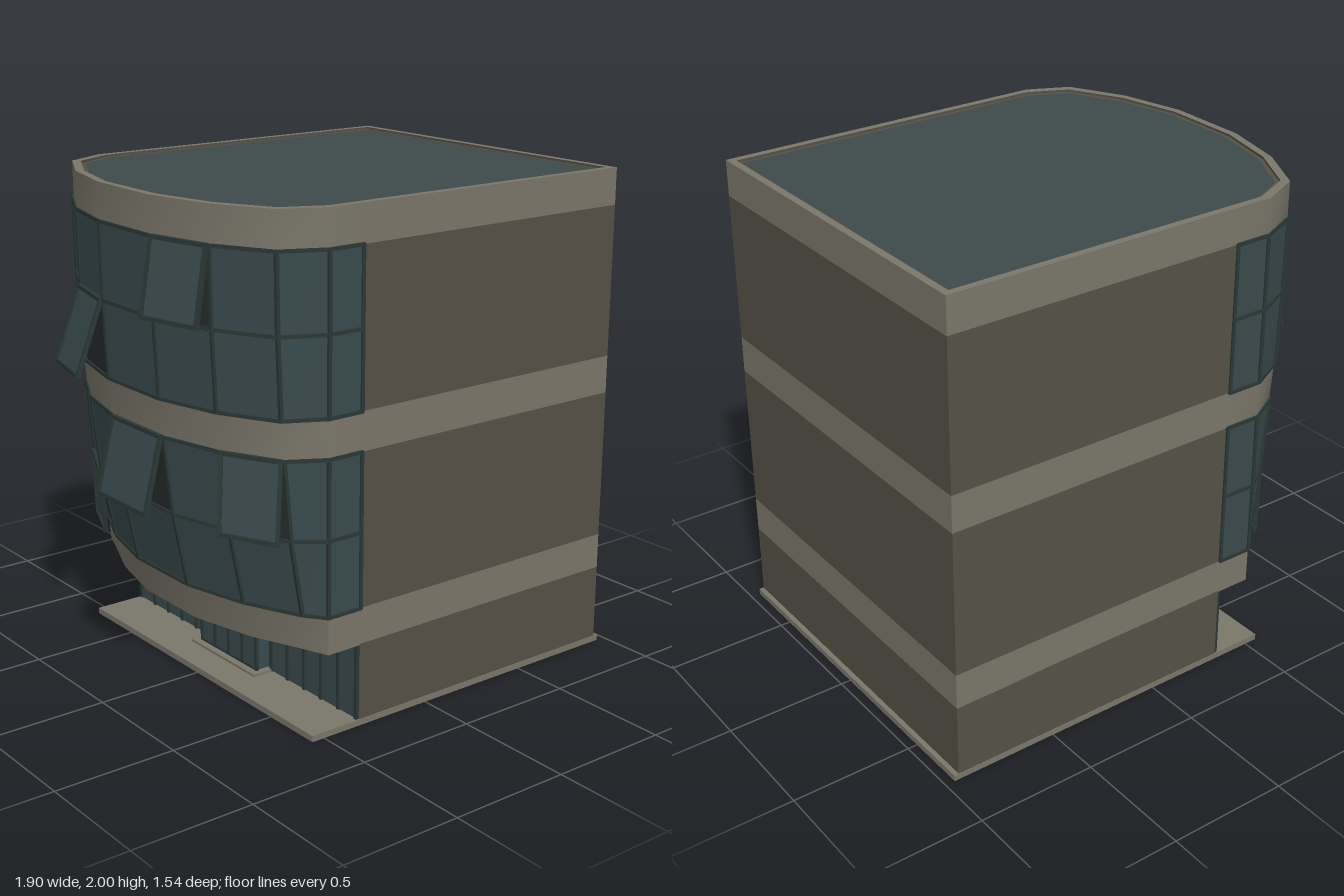
import * as THREE from 'three';
import { toCreasedNormals } from 'three/addons/utils/BufferGeometryUtils.js';

const mat = (name, color, side = THREE.FrontSide) => new THREE.MeshStandardMaterial({ name, color, side });

// Half of the bowed plan (x, z, how far it follows the lean), then mirrored
const half = [[-0.33, 0.76, 0], [-0.48, 0.76, 0], [-0.65, 0.68, 0.85], [-0.77, 0.45, 1], [-0.835, 0.175, 1]];
const bow = [...half, ...half.map(([x, z, k]) => [x, -z, k]).reverse()];
const plan = [...bow, [0.94, -0.76, 0], [0.94, 0.76, 0]];

// Inward lean of the bow at each height
const lean = [[0.33, 0.165], [0.48, 0.13], [0.78, 0.07], [1.09, 0.035], [1.245, 0.02], [1.55, 0.005], [1.85, 0], [2, 0]];
function shift(y) {
  for (let i = 1; i < lean.length; i++) {
    const [y0, s0] = lean[i - 1], [y1, s1] = lean[i];
    if (y <= y1) return s0 + (s1 - s0) * (y - y0) / (y1 - y0);
  }
  return 0;
}
const at = ([x, z, k], y) => new THREE.Vector3(x + k * shift(y), y, z);

// Wall strip following a list of plan points between two heights
function strip(points, y0, y1, closed) {
  const pos = [], idx = [], n = points.length;
  points.forEach((p) => pos.push(...at(p, y0), ...at(p, y1)));
  for (let i = 0; i < (closed ? n : n - 1); i++) {
    const a = i * 2, b = ((i + 1) % n) * 2;
    idx.push(b, a, a + 1, b, a + 1, b + 1);
  }
  const g = new THREE.BufferGeometry();
  g.setAttribute('position', new THREE.Float32BufferAttribute(pos, 3));
  g.setIndex(idx);
  return toCreasedNormals(g, 0.8);
}

// Flat pane from corners: lower a, lower b, upper b, upper a
function pane(a0, b0, b1, a1) {
  const g = new THREE.BufferGeometry();
  g.setAttribute('position', new THREE.Float32BufferAttribute([b0, a0, a1, b0, a1, b1].flatMap((v) => [...v]), 3));
  g.computeVertexNormals();
  return g;
}

// Roof plan pulled inwards by d
const inset = (d) => plan.map(([x, z]) => [0.0525 + (x - 0.0525) * (1 - d / 0.8875), z * (1 - d / 0.76), 0]);

function cap(outer, inner, y) {
  const pts = (list) => list.map(([x, z]) => new THREE.Vector2(x, -z));
  const shape = new THREE.Shape(pts(outer));
  if (inner) shape.holes.push(new THREE.Path(pts(inner)));
  return new THREE.ShapeGeometry(shape).rotateX(-Math.PI / 2).translate(0, y, 0);
}

export function createModel() {
  const model = new THREE.Group();
  model.name = 'building';
  const stone = mat('paleStone', 0x7a766a, THREE.DoubleSide);
  const wall = mat('darkStone', 0x555147, THREE.DoubleSide);
  const glass = mat('glass', 0x394a4d, THREE.DoubleSide);
  const deck = mat('roofDeck', 0x3e4b4a);
  const frame = mat('frame', 0x2b3836);
  const dark = mat('interior', 0x262d2c, THREE.DoubleSide);

  const add = (name, geometry, material, parent = model) => {
    const m = new THREE.Mesh(geometry, material);
    m.name = name;
    parent.add(m);
    return m;
  };
  const box = (name, x0, x1, y0, y1, z0, z1, material) =>
    add(name, new THREE.BoxGeometry(x1 - x0, y1 - y0, z1 - z0), material)
      .position.set((x0 + x1) / 2, (y0 + y1) / 2, (z0 + z1) / 2);
  const bar = (name, a, b, w, parent) => {
    const m = add(name, new THREE.BoxGeometry(w, w, a.distanceTo(b) + w * 0.5), frame, parent);
    m.position.copy(a).lerp(b, 0.5);
    m.lookAt(b);
  };

  // Plinth and ground-floor block
  box('plinth', -0.555, 0.96, 0, 0.025, -0.762, 0.762, stone);
  box('groundWall', -0.33, 0.94, 0.025, 0.335, -0.76, 0.76, wall);

  // Pale bands running all the way round
  for (const [y0, y1] of [[0.33, 0.48], [1.09, 1.243], [1.853, 2]]) add('band', strip(plan, y0, y1, true), stone);
  const soffitPlan = bow.map((p) => { const v = at(p, 0.33); return [v.x, v.z]; });
  add('soffit', cap(soffitPlan, null, 0.331), stone);

  // Dark walls on three sides of the upper floors
  const sides = [bow[bow.length - 1], plan[bow.length], plan[bow.length + 1], bow[0]];
  for (const [y0, y1] of [[0.48, 1.09], [1.243, 1.853]]) add('upperWall', strip(sides, y0, y1, false), wall);

  // Roof: parapet top, inner rim and deck
  add('parapetTop', cap(plan, inset(0.03), 2), stone);
  add('parapetInside', strip(inset(0.03), 1.985, 2, true), wall);
  add('roofRim', cap(inset(0.03), inset(0.045), 1.99), wall);
  add('roofDeck', cap(inset(0.03), null, 1.985), deck);

  // Bowed glazing; opened sashes are keyed by row and bay, with their swing
  const rows = [[0.48, 0.78], [0.78, 1.09], [1.243, 1.55], [1.55, 1.853]];
  const open = { '0,6': 0.05, '1,2': 0.1, '1,4': 0.125, '2,5': 0.13, '3,3': 0.08 };
  rows.forEach(([y0, y1], r) => {
    const row = new THREE.Group();
    row.name = 'windowRow';
    model.add(row);
    for (let i = 0; i < bow.length; i++) {
      bar('mullion', at(bow[i], y0), at(bow[i], y1), 0.014, row);
      if (i === bow.length - 1) break;
      const a0 = at(bow[i], y0), b0 = at(bow[i + 1], y0), a1 = at(bow[i], y1), b1 = at(bow[i + 1], y1);
      bar('transom', a0, b0, 0.014, row);
      bar('transom', a1, b1, 0.014, row);
      const swing = open[`${r},${i}`];
      add(swing ? 'opening' : 'window', pane(a0, b0, b1, a1), swing ? dark : glass, row);
      if (!swing) continue;

      // Top-hung sash pushed outwards at its foot
      const out = new THREE.Vector3(b1.z - a1.z, 0, a1.x - b1.x).normalize();
      const width = b1.clone().sub(a1).multiplyScalar(0.03);
      const c = [a0.clone().add(width), b0.clone().sub(width), b1.clone().sub(width), a1.clone().add(width)];
      c.forEach((v, k) => v.addScaledVector(out, k < 2 ? swing - 0.008 : 0.008));
      c[0].y += 0.018;
      c[1].y += 0.018;
      add('sashGlass', pane(...c), glass, row);
      c.forEach((v, k) => bar('sashFrame', v, c[(k + 1) % 4], 0.016, row));
    }
  });

  // Recessed ground-floor glazing with mullions
  box('shopGlass', -0.336, -0.33, 0.025, 0.33, -0.755, 0.755, glass);
  for (let i = 0; i <= 14; i++) {
    const z = -0.75 + i * 1.5 / 14;
    box('shopMullion', -0.344, -0.33, 0.025, 0.33, z - 0.007, z + 0.007, frame);
  }

  // Entrance lobby and step
  box('entranceStep', -0.43, -0.33, 0.025, 0.035, -0.22, 0.22, stone);
  box('lobby', -0.395, -0.336, 0.035, 0.32, -0.19, 0.19, glass);
  for (const z of [-0.19, -0.095, 0, 0.095, 0.19]) box('lobbyPost', -0.402, -0.39, 0.035, 0.32, z - 0.007, z + 0.007, frame);
  for (const y of [0.04, 0.25, 0.315]) box('lobbyRail', -0.401, -0.39, y - 0.005, y + 0.005, -0.19, 0.19, frame);
  return model;
}
